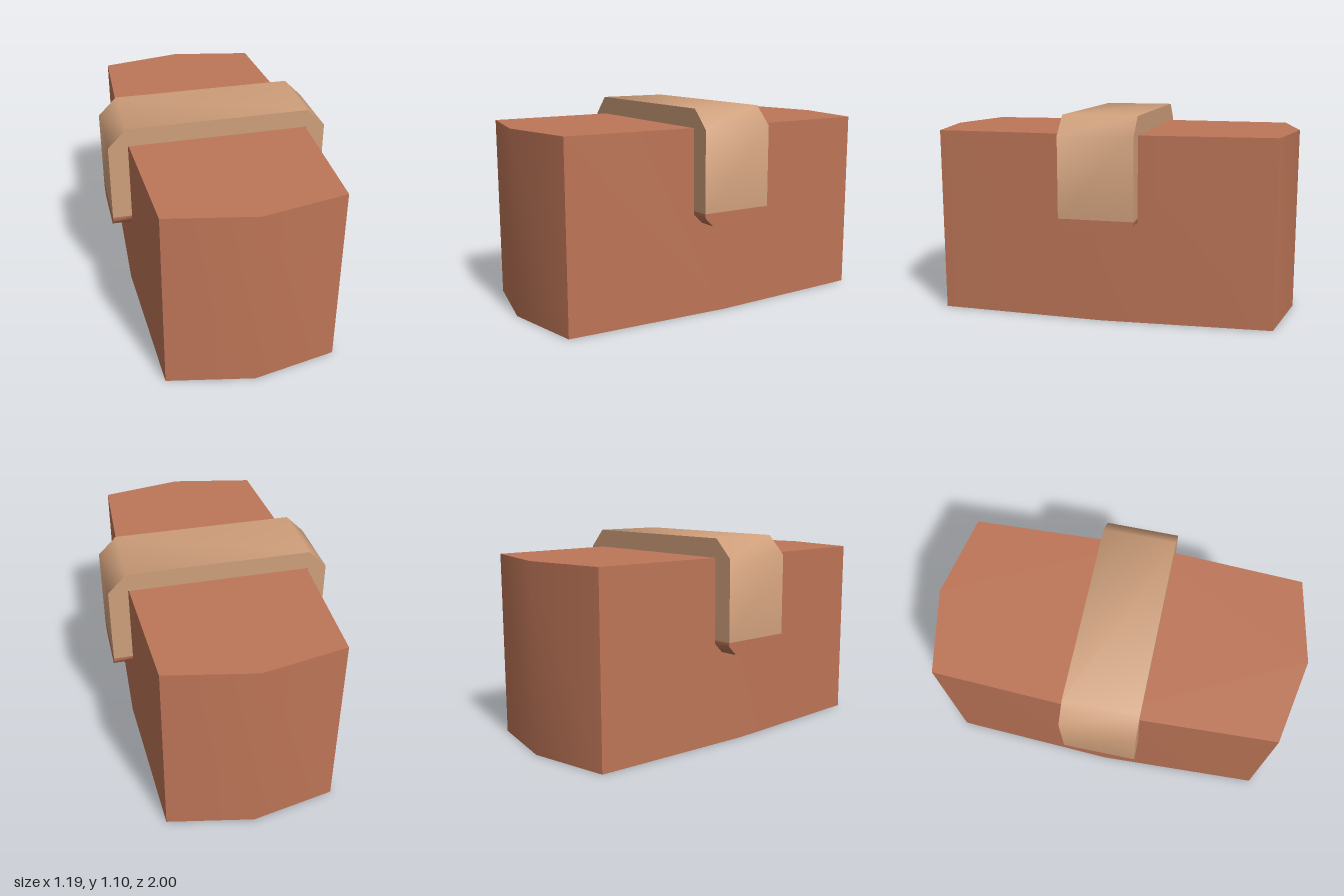
import * as THREE from 'three';
import { toCreasedNormals } from 'three/addons/utils/BufferGeometryUtils.js';

const clay = new THREE.MeshStandardMaterial({ color: 0xbd7557 });
clay.name = 'clay';
const tan = new THREE.MeshStandardMaterial({ color: 0xcf9f7b });
tan.name = 'tan';

const CREASE = THREE.MathUtils.degToRad(50);

// Closed band through rectangular sections [outerX, outerY, innerX, innerY, halfWidth]
function band(sections) {
  const rings = sections.map(([ox, oy, ix, iy, w]) => [
    [ox, oy, w], [ox, oy, -w], [ix, iy, -w], [ix, iy, w],
  ]);
  const pos = [];
  const quad = (a, b, c, d) => pos.push(...a, ...b, ...c, ...a, ...c, ...d);
  for (let i = 0; i < rings.length - 1; i++) {
    for (let k = 0; k < 4; k++) {
      const n = (k + 1) % 4;
      quad(rings[i][k], rings[i][n], rings[i + 1][n], rings[i + 1][k]);
    }
  }
  const first = rings[0], last = rings[rings.length - 1];
  quad(first[3], first[2], first[1], first[0]);
  quad(last[0], last[1], last[2], last[3]);
  const geo = new THREE.BufferGeometry();
  geo.setAttribute('position', new THREE.Float32BufferAttribute(pos, 3));
  return toCreasedNormals(geo, CREASE);
}

export function createModel() {
  const group = new THREE.Group();
  const add = (name, geo, mat) => {
    const mesh = new THREE.Mesh(geo, mat);
    mesh.name = name;
    group.add(mesh);
  };

  // Block with bowed sides and pointed ends
  const outline = [
    [0, -1], [0.455, -0.91], [0.495, 0], [0.455, 0.91],
    [0, 1], [-0.455, 0.91], [-0.495, 0], [-0.455, -0.91],
  ].map(([x, y]) => new THREE.Vector2(x, y));
  const body = new THREE.ExtrudeGeometry(new THREE.Shape(outline), { depth: 1, bevelEnabled: false });
  body.rotateX(-Math.PI / 2);
  add('body', toCreasedNormals(body, CREASE), clay);

  // Strap over the top, with bevelled shoulders and tapered tips
  const half = [
    [0.595, 0.5, 0.49, 0.5, 0.15],
    [0.595, 0.55, 0.49, 0.55, 0.2],
    [0.595, 0.57, 0.49, 0.57, 0.2],
    [0.595, 1.0, 0.49, 1.0, 0.2],
    [0.495, 1.1, 0.49, 1.0, 0.2],
  ];
  const mirrored = half.map(([ox, oy, ix, iy, w]) => [-ox, oy, -ix, iy, w]).reverse();
  const path = [...half, ...mirrored];
  add('strap', band(path.slice(2, -2)), tan);
  add('leftStrapTip', band(path.slice(0, 3)), clay);
  add('rightStrapTip', band(path.slice(-3)), clay);

  return group;
}
